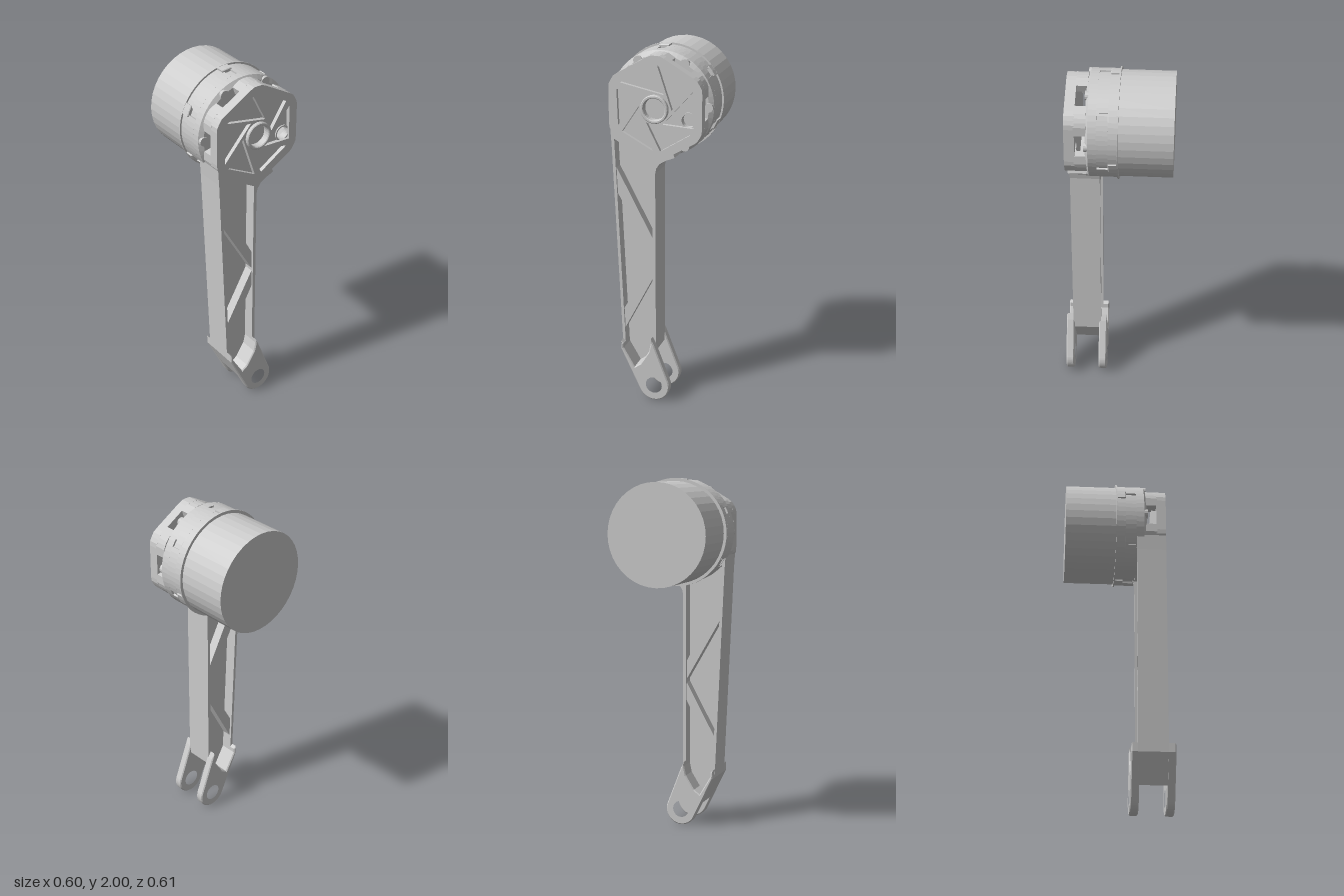
import * as THREE from 'three';

const AXIS_Y = 1.7;
const RAD = Math.PI / 180;
const material = new THREE.MeshStandardMaterial({ color: 0xcccccc, flatShading: true });

const toPath = (pts, Kind = THREE.Shape) => new Kind(pts.map(([x, y]) => new THREE.Vector2(x, y)));
const polar = (r, deg) => [r * Math.cos(deg * RAD), r * Math.sin(deg * RAD)];

function circleHole(x, y, r) {
  const p = new THREE.Path();
  p.absarc(x, y, r, 0, Math.PI * 2, true);
  return p;
}

// Flat ring around a centre
function ringShape(x, y, outer, inner) {
  const s = new THREE.Shape();
  s.absarc(x, y, outer, 0, Math.PI * 2, false);
  s.holes.push(circleHole(x, y, inner));
  return s;
}

// Hexagon with flats facing left and right, its corners trimmed to a circle
function hexPoint(deg) {
  const off = ((deg + 30) % 60 + 60) % 60 - 30;
  return polar(Math.min(0.26 / Math.cos(off * RAD), 0.284), deg);
}

function hexShape() {
  const pts = [];
  for (let a = 0; a < 360; a += 5) pts.push(hexPoint(a));
  return toPath(pts);
}

// Wall piece between two angles: outer edge by rule, inner edge on a circle
function wallShape(a0, a1, outer, inner) {
  const out = [], back = [];
  const n = Math.max(2, Math.round((a1 - a0) / 5));
  for (let i = 0; i <= n; i++) {
    const a = a0 + (a1 - a0) * i / n;
    out.push(outer(a));
    back.unshift(polar(inner, a));
  }
  return toPath([...out, ...back]);
}

export function createModel() {
  const model = new THREE.Group();
  const head = new THREE.Group();
  head.name = 'head';
  head.position.y = AXIS_Y;
  const arm = new THREE.Group();
  arm.name = 'arm';
  model.add(head, arm);

  const add = (parent, name, geometry) => {
    const mesh = new THREE.Mesh(geometry, material);
    mesh.name = name;
    parent.add(mesh);
  };
  // Flat shape given depth from z0 to z1
  const slab = (parent, name, shape, z0, z1, bevel = 0) => {
    const g = new THREE.ExtrudeGeometry(shape, {
      depth: z1 - z0 - 2 * bevel, curveSegments: 14, bevelEnabled: bevel > 0,
      bevelSize: bevel, bevelThickness: bevel, bevelOffset: -bevel, bevelSegments: 1,
    });
    g.translate(0, 0, z0 + bevel);
    add(parent, name, g);
  };
  // Cylinder along z, radius r0 at z0 and r1 at z1
  const drum = (name, r0, r1, z0, z1, x = 0, y = 0, sides = 40) => {
    const g = new THREE.CylinderGeometry(r0, r1, z1 - z0, sides);
    g.rotateX(-Math.PI / 2);
    g.translate(x, y, (z0 + z1) / 2);
    add(head, name, g);
  };

  // Motor and its mounting ring
  drum('motor', 0.283, 0.283, -0.305, -0.015);
  drum('flange', 0.299, 0.299, -0.018, -0.01, 0, 0, 60);
  drum('ringCore', 0.279, 0.279, -0.012, 0.1);
  drum('ringUpper', 0.289, 0.289, -0.012, 0.035, 0, 0, 60);
  drum('ringLower', 0.289, 0.289, 0.095, 0.14, 0, 0, 60);
  drum('ringChamfer', 0.289, 0.264, 0.14, 0.155, 0, 0, 60);
  for (let k = 0; k < 6; k++) {
    const tab = 35 + 60 * k;
    slab(head, 'ringWall', wallShape(tab + 4, tab + 56, a => polar(0.289, a), 0.27), 0.034, 0.096);
    slab(head, 'ringTab', wallShape(tab - 6, tab + 6, a => polar(0.298, a), 0.27), -0.014, 0.036, 0.004);
    const [x, y] = polar(0.262, 60 * k);
    drum('screwBoss', 0.026, 0.026, 0.1, 0.16, x, y, 14);
  }

  // Hollow hexagonal housing with a window in each free flat
  for (let k = 0; k < 6; k++) {
    const corner = 30 + 60 * k;
    slab(head, 'housingPillar', wallShape(corner - 17, corner + 17, hexPoint, 0.225), 0.15, 0.215);
  }
  slab(head, 'housingArmWall', wallShape(222, 258, hexPoint, 0.225), 0.15, 0.215);
  drum('housingCore', 0.066, 0.066, 0.15, 0.245, 0, 0, 28);

  const floor = hexShape();
  floor.holes.push(circleHole(0, 0, 0.06), circleHole(0.18, -0.055, 0.038));
  slab(head, 'housingFloor', floor, 0.21, 0.243);

  // Front face with a pinwheel of triangular pockets
  const face = hexShape();
  face.holes.push(circleHole(0, 0, 0.06));
  const pocket = [[-0.195, 0.128], [0.05, 0.078], [-0.028, 0.232]];
  for (let k = 0; k < 6; k++) {
    const c = Math.cos(k * 60 * RAD), s = Math.sin(k * 60 * RAD);
    face.holes.push(toPath(pocket.map(([x, y]) => [x * c - y * s, x * s + y * c]), THREE.Path));
  }
  slab(head, 'housingFace', face, 0.242, 0.265);
  slab(head, 'centreBoss', ringShape(0, 0, 0.077, 0.06), 0.25, 0.285, 0.004);
  slab(head, 'pocketEyelet', ringShape(0.18, -0.055, 0.045, 0.037), 0.215, 0.25);

  // Arm: a rim around a thin web
  const outline = [
    [-0.253, 1.57], [-0.247, 1.48], [-0.195, 0.29], [-0.117, 0.13], [0, 0.29], [0, 1.34],
    [0.006, 1.37], [0.025, 1.398], [0.06, 1.42], [0.11, 1.44], [0.1, 1.465], [0, 1.45],
  ];
  const inner = [
    [-0.232, 1.515], [-0.18, 0.3], [-0.115, 0.19], [-0.08, 0.215], [-0.03, 0.295],
    [-0.018, 0.35], [-0.018, 1.395],
  ];
  const rim = toPath(outline);
  rim.holes.push(toPath(inner, THREE.Path));
  slab(arm, 'armRim', rim, 0.1, 0.265);
  slab(arm, 'armWeb', toPath(inner), 0.165, 0.2);

  // Diagonal ribs on both faces of the web
  const ribs = [
    [[-0.229, 1.36], [-0.222, 1.21], [-0.01, 0.84], [-0.01, 0.945]],
    [[-0.192, 0.52], [-0.188, 0.4], [-0.01, 0.745], [-0.01, 0.85]],
  ];
  for (const rib of ribs) slab(arm, 'armRib', toPath(rib), 0.112, 0.253);

  // Fork: two cheeks with a pin hole
  const cheek = toPath([[-0.018, 0.375], [0, 0.34]]);
  cheek.absarc(0, 0.09, 0.09, 25 * RAD, -155 * RAD, true);
  [[-0.195, 0.29], [-0.196, 0.34], [-0.181, 0.325], ...inner.slice(1, 6)]
    .forEach(([x, y]) => cheek.lineTo(x, y));
  cheek.holes.push(circleHole(0, 0.093, 0.054));
  for (const z of [0.065, 0.258]) slab(arm, 'forkCheek', cheek, z, z + 0.047, 0.006);

  return model;
}
